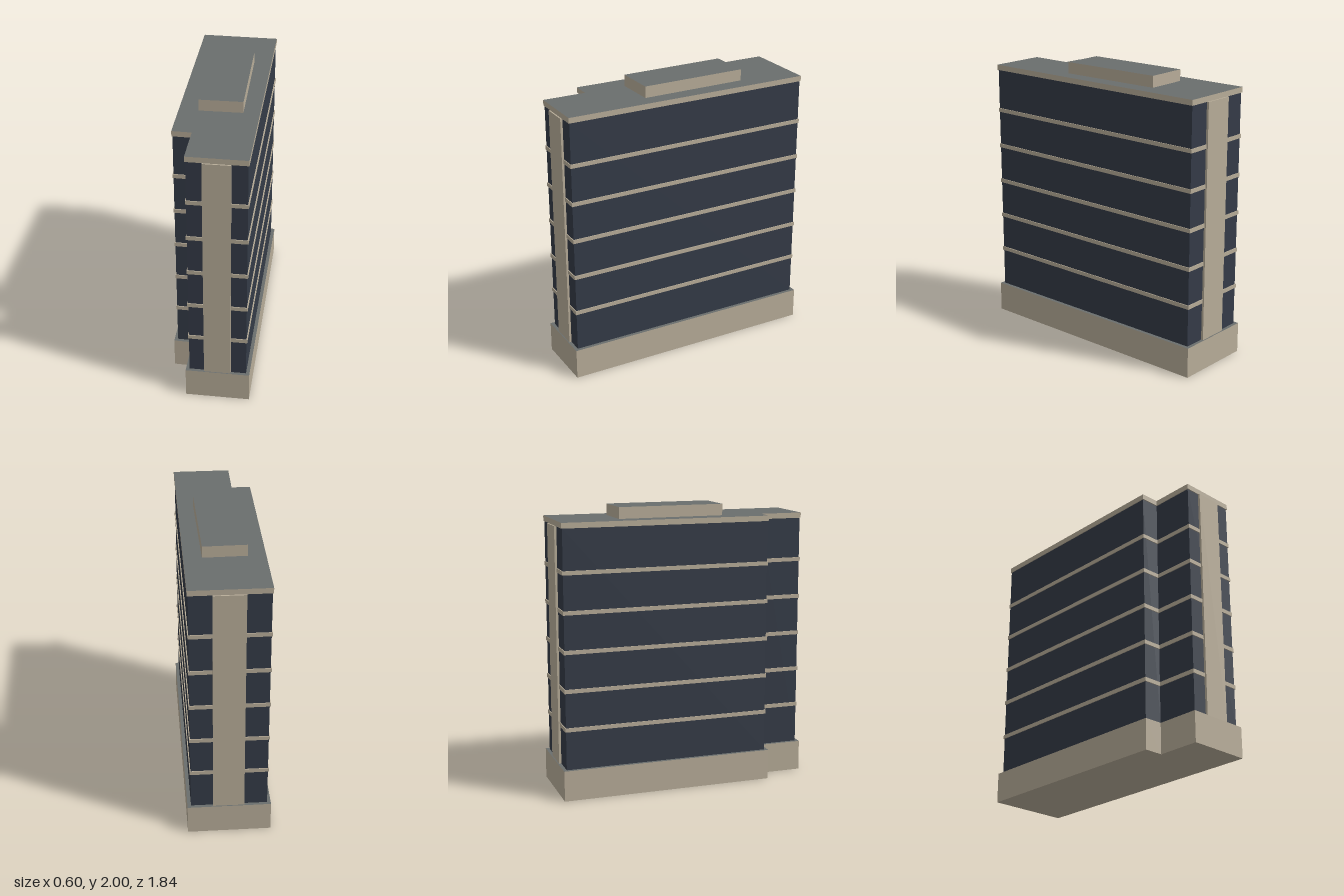
import * as THREE from 'three';

const material = (name, color) => {
  const m = new THREE.MeshStandardMaterial({ color });
  m.name = name;
  return m;
};

// Slightly skewed floor plans with one notched corner, as [x, z]
const BASE_PLAN = [[-0.28, -0.922], [0.297, -0.911], [0.268, 0.917], [-0.175, 0.91], [-0.168, 0.605], [-0.301, 0.6]];
const SLAB_PLAN = [[-0.261, -0.904], [0.278, -0.893], [0.25, 0.9], [-0.156, 0.893], [-0.15, 0.588], [-0.283, 0.583]];
const GLASS_PLAN = [[-0.255, -0.898], [0.272, -0.887], [0.244, 0.894], [-0.15, 0.887], [-0.144, 0.582], [-0.277, 0.577]];
const PENTHOUSE_PLAN = [[-0.147, -0.47], [0.15, -0.47], [0.15, 0.287], [-0.147, 0.287]];
const FRONT_PIER_PLAN = [[-0.047, 0.85], [0.138, 0.85], [0.138, 0.908], [-0.047, 0.905]];
const BACK_PIER_PLAN = [[-0.095, -0.911], [0.12, -0.906], [0.12, -0.85], [-0.095, -0.85]];

const DECK = 0.004;

export function createModel() {
  const stone = material('stone', 0xb8ad99);
  const glass = material('dark glass', 0x343b47);
  const roofing = material('grey roofing', 0x6a6e6d);
  const model = new THREE.Group();
  model.name = 'officeTower';

  // Upright prism over a plan, from y0 to y1
  const prism = (name, plan, y0, y1, mat) => {
    const shape = new THREE.Shape(plan.map(([x, z]) => new THREE.Vector2(x, -z)));
    const geometry = new THREE.ExtrudeGeometry(shape, { depth: y1 - y0, bevelEnabled: false });
    geometry.rotateX(-Math.PI / 2);
    const mesh = new THREE.Mesh(geometry, mat);
    mesh.name = name;
    mesh.position.y = y0;
    model.add(mesh);
  };

  // Stone prism finished with a thin grey deck
  const roofedPrism = (name, plan, y0, y1) => {
    prism(name, plan, y0, y1 - DECK, stone);
    prism(name + 'Deck', plan, y1 - DECK, y1, [roofing, stone]);
  };

  // Ground-floor base, glazed body, roof slab and rooftop plant room
  roofedPrism('base', BASE_PLAN, 0, 0.216);
  prism('glazing', GLASS_PLAN, 0.216, 1.882, glass);
  roofedPrism('roofSlab', SLAB_PLAN, 1.882, 1.92);
  roofedPrism('plantRoom', PENTHOUSE_PLAN, 1.92, 2);

  // Floor bands
  for (let i = 0; i < 5; i++) {
    const y = 0.501 + i * 0.2707;
    prism('floorBand' + (i + 1), SLAB_PLAN, y - 0.014, y + 0.014, stone);
  }

  // Full-height piers on the two narrow ends
  prism('frontPier', FRONT_PIER_PLAN, 0.216, 1.882, stone);
  prism('backPier', BACK_PIER_PLAN, 0.216, 1.882, stone);

  return model;
}
